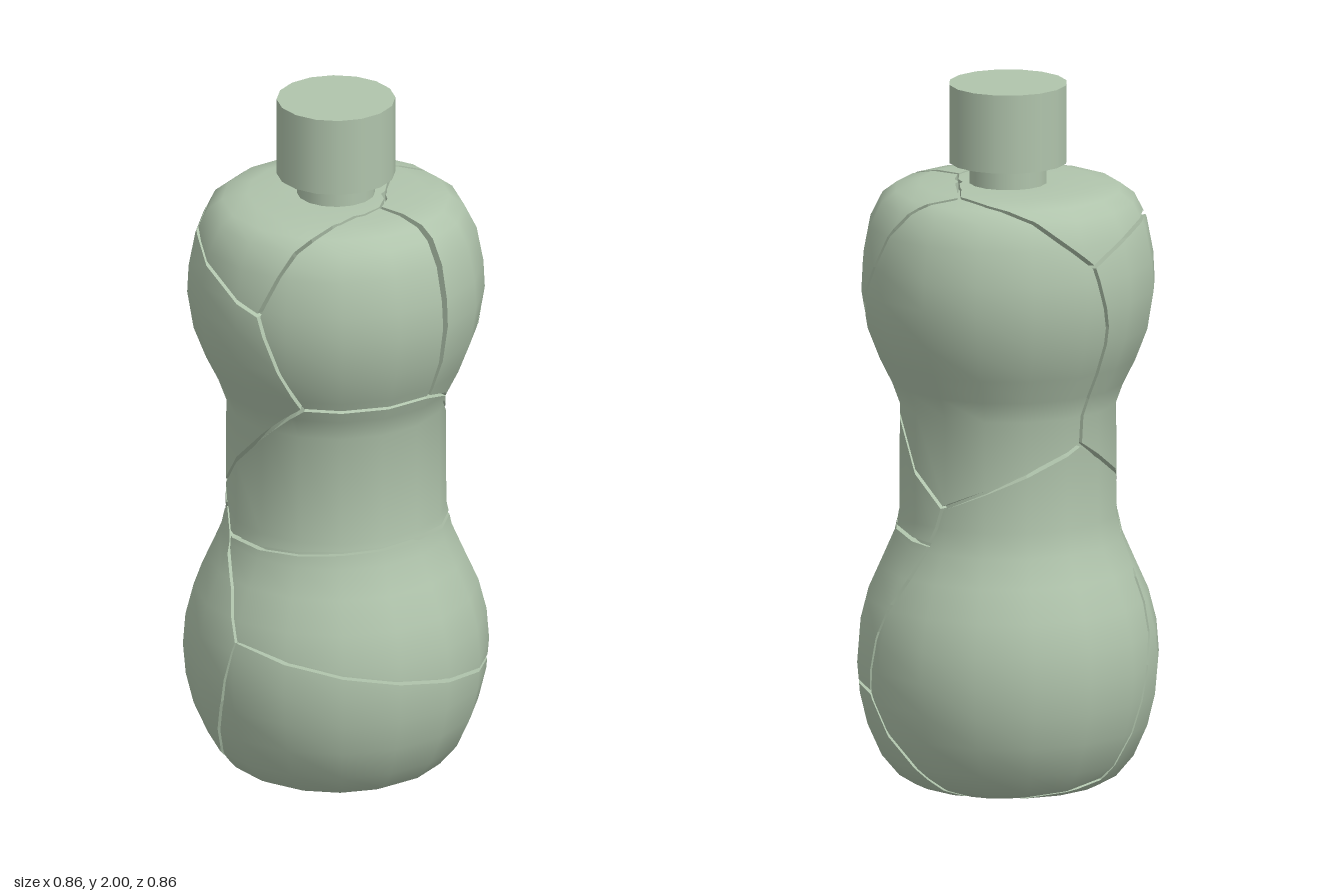
import * as THREE from 'three';

const SIDES = 16, STEP = 360 / SIDES, GAP = 0.006, DEPTH = 0.035, DEG = Math.PI / 180;

// Body profile [radius, height], from the centre of the base to the neck
const PROFILE = [
  [0, 0], [0.27, 0], [0.31, 0.02], [0.36, 0.08], [0.4, 0.17], [0.422, 0.26], [0.43, 0.35], [0.423, 0.44],
  [0.4, 0.53], [0.36, 0.62], [0.325, 0.7], [0.31, 0.77], [0.308, 1.09], [0.33, 1.15], [0.365, 1.22],
  [0.4, 1.31], [0.418, 1.42], [0.414, 1.5], [0.395, 1.6], [0.36, 1.67], [0.32, 1.7], [0.25, 1.715], [0.11, 1.715],
].map(([r, y]) => new THREE.Vector2(r, y));
const LAST = PROFILE.length - 1;

// Length along the profile, and its smooth normals
const LEN = [0];
for (let i = 1; i <= LAST; i++) LEN.push(LEN[i - 1] + PROFILE[i].distanceTo(PROFILE[i - 1]));
const NORMALS = PROFILE.map((p, i) => {
  if (i === 0) return new THREE.Vector2(0, -1);
  if (i === LAST) return new THREE.Vector2(0, 1);
  const a = p.clone().sub(PROFILE[i - 1]).normalize();
  const d = PROFILE[i + 1].clone().sub(p).normalize().add(a).normalize();
  return new THREE.Vector2(d.y, -d.x);
});

// Surface coordinates are [angle in degrees from the front, length along the profile]
function side(angle, y) {
  let j = 1;
  while (j < LAST - 2 && PROFILE[j + 1].y < y) j++;
  const t = (y - PROFILE[j].y) / (PROFILE[j + 1].y - PROFILE[j].y);
  return [angle, LEN[j] + t * (LEN[j + 1] - LEN[j])];
}
const angleOf = (x, z) => Math.atan2(x, z) / DEG;
const top = (x, z) => [angleOf(x, z), LEN[LAST] - (Math.hypot(x, z) - PROFILE[LAST].x)];
const base = (x, z) => [angleOf(x, z), Math.hypot(x, z)];
const sides = (...list) => list.map(([a, y]) => side(a, y));

// Points where cracks meet
const NODES = {
  T: top(0.165, 0), G: top(-0.01, -0.248), R: base(-0.07, -0.226),
  A: side(10, 1.48), B: side(-108, 1.54), C: side(27, 1.19), D: side(90, 1.19), E: side(116, 1.14),
  H: side(178, 0.83), S: side(257, 1.01), I: side(-46, 0.84), J: side(-42, 0.78), K: side(-28, 0.725),
  N: side(170, 0.72), L: side(0, 0.47), M: side(147, 0.28),
};

// Bends of the cracks between those points
const CRACKS = {
  TA: [top(0.165, 0.1), top(0.165, 0.18), ...sides([24, 1.67], [18, 1.6])],
  AB: sides([-23, 1.57], [-47, 1.615], [-67, 1.625], [-90, 1.6]),
  BG: sides([-134, 1.675], [-159, 1.708]),
  GT: [top(0.06, -0.155), top(0.11, -0.08)],
  GE: sides([166, 1.685], [158, 1.62], [147, 1.5], [136, 1.38], [126, 1.24]),
  AC: sides([18, 1.32]),
  EH: sides([136, 1.05], [157, 0.92]),
  SB: sides([259, 1.14], [259, 1.36]),
  SI: sides([270, 0.965], [300, 0.875]),
  KN: sides([0, 0.73], [45, 0.745], [90, 0.75], [135, 0.735]),
  KL: sides([-11, 0.6]),
  LM: sides([28, 0.44], [55, 0.4], [90, 0.35]),
  NM: sides([153, 0.46]),
  MR: sides([158, 0.17], [172, 0.05]),
  JR: sides([-57, 0.71], [-69, 0.6], [-73, 0.45], [-77, 0.36], [-83, 0.17], [-92, 0.04]),
  LR: [...sides([-8, 0.27], [-19, 0.1], [-27, 0.02]), base(-0.15, 0.2), base(-0.135, 0.1), base(-0.115, 0), base(-0.095, -0.1)],
};

// Shards by their corner points; "pole" marks the two that wrap around the axis
const SHARDS = [
  { name: 'crownShard', ring: 'TABG', pole: LEN[LAST] },
  { name: 'frontLeftShoulderShard', ring: 'TACD' },
  { name: 'backLeftShoulderShard', ring: 'TDEG' },
  { name: 'backShoulderShard', ring: 'GEHSB' },
  { name: 'frontRightShoulderShard', ring: 'ABSIC' },
  { name: 'waistShard', ring: 'CDEHNKJI' },
  { name: 'backLowerShard', ring: 'HSIJRMN' },
  { name: 'leftBellyShard', ring: 'KNML' },
  { name: 'baseShard', ring: 'LMR', pole: 0 },
  { name: 'frontRightBellyShard', ring: 'JKLR' },
];

// Outline of a shard with continuous angles, drawn in by half a crack width
function outline({ ring, pole }) {
  let pts = [];
  const add = ([a, s]) => {
    const prev = pts.length ? pts[pts.length - 1].x : a;
    pts.push(new THREE.Vector2(a - 360 * Math.round((a - prev) / 360), s));
  };
  [...ring].forEach((p, i) => {
    const q = ring[(i + 1) % ring.length];
    add(NODES[p]);
    (CRACKS[p + q] || [...(CRACKS[q + p] || [])].reverse()).forEach(add);
  });
  const fixed = new Set();
  if (pole !== undefined) {
    add(NODES[ring[0]]);
    const first = pts[0], last = pts[pts.length - 1];
    const c = new THREE.Vector2(last.x, pole), d = new THREE.Vector2(first.x, pole);
    pts.push(c, d);
    [first, last, c, d].forEach((p) => fixed.add(p));
  }
  if (THREE.ShapeUtils.isClockWise(pts)) pts = pts.reverse();
  return pts.map((p, i) => {
    if (fixed.has(p)) return p.clone();
    const k = radiusAt(p.y) * DEG;
    const inward = (a, b) => new THREE.Vector2(a.y - b.y, (b.x - a.x) * k).normalize();
    const n1 = inward(pts[(i + pts.length - 1) % pts.length], p);
    const n2 = inward(p, pts[(i + 1) % pts.length]);
    const m = n1.clone().add(n2).multiplyScalar(GAP / Math.max(0.4, 1 + n1.dot(n2)));
    return new THREE.Vector2(p.x + m.x / k, p.y + m.y);
  });
}

function radiusAt(s) {
  let j = 0;
  while (j < LAST - 1 && LEN[j + 1] < s) j++;
  return THREE.MathUtils.lerp(PROFILE[j].x, PROFILE[j + 1].x, (s - LEN[j]) / (LEN[j + 1] - LEN[j]));
}

// Keep the part of a polygon where sign * (coordinate - limit) >= 0
function clip(poly, axis, limit, sign) {
  const out = [];
  poly.forEach((p, i) => {
    const q = poly[(i + 1) % poly.length];
    const dp = sign * (p[axis] - limit), dq = sign * (q[axis] - limit);
    if (dp >= 0) out.push(p);
    if ((dp > 0 && dq < 0) || (dp < 0 && dq > 0)) {
      const c = p.clone().lerp(q, dp / (dp - dq));
      c[axis] = limit;
      out.push(c);
    }
  });
  return out;
}

// Lay a shard over the facets of the body and give its rim a wall
function shardGeometry(spec) {
  const poly = outline(spec), pos = [], nor = [];
  const angles = poly.map((p) => p.x);
  const put = (p, n) => { pos.push(p.x, p.y, p.z); nor.push(n.x, n.y, n.z); };
  for (let i = Math.floor(Math.min(...angles) / STEP); i * STEP < Math.max(...angles); i++) {
    const a0 = i * STEP, a1 = a0 + STEP;
    const column = clip(clip(poly, 'x', a0, 1), 'x', a1, -1);
    for (let j = 0; j < LAST; j++) {
      const s0 = LEN[j], s1 = LEN[j + 1];
      const raw = clip(clip(column, 'y', s0, 1), 'y', s1, -1);
      const cell = raw.filter((p, n) => p.distanceTo(raw[(n + 1) % raw.length]) > 1e-7);
      if (cell.length < 3 || Math.abs(THREE.ShapeUtils.area(cell)) < 1e-7) continue;
      const verts = cell.map((c) => {
        const t = (c.x - a0) / STEP, u = (c.y - s0) / (s1 - s0);
        const r = PROFILE[j].clone().lerp(PROFILE[j + 1], u);
        const n = NORMALS[j].clone().lerp(NORMALS[j + 1], u).normalize();
        const dx = THREE.MathUtils.lerp(Math.sin(a0 * DEG), Math.sin(a1 * DEG), t);
        const dz = THREE.MathUtils.lerp(Math.cos(a0 * DEG), Math.cos(a1 * DEG), t);
        const normal = new THREE.Vector3(Math.sin(c.x * DEG) * n.x, n.y, Math.cos(c.x * DEG) * n.x);
        const p = new THREE.Vector3(r.x * dx, r.y, r.x * dz);
        return { p, normal, inner: p.clone().addScaledVector(normal, -DEPTH) };
      });
      THREE.ShapeUtils.triangulateShape(cell, []).flat().forEach((v) => put(verts[v].p, verts[v].normal));
      cell.forEach((c, n) => {
        const m = (n + 1) % cell.length, d = cell[m];
        const on = (axis, v) => Math.abs(c[axis] - v) < 1e-6 && Math.abs(d[axis] - v) < 1e-6;
        if (on('x', a0) || on('x', a1) || on('y', s0) || on('y', s1)) return;
        const A = verts[n], B = verts[m];
        const face = A.p.clone().sub(B.p).cross(A.inner.clone().sub(B.p)).normalize();
        [B.p, A.p, A.inner, B.p, A.inner, B.inner].forEach((p) => put(p, face));
      });
    }
  }
  const g = new THREE.BufferGeometry();
  g.setAttribute('position', new THREE.Float32BufferAttribute(pos, 3));
  g.setAttribute('normal', new THREE.Float32BufferAttribute(nor, 3));
  return g;
}

export function createModel() {
  const group = new THREE.Group();
  const material = new THREE.MeshStandardMaterial({ color: 0xb0c4ac });
  const add = (name, geometry, y = 0) => {
    const mesh = new THREE.Mesh(geometry, material);
    mesh.name = name;
    mesh.position.y = y;
    group.add(mesh);
  };

  // Cracked body over a solid core
  SHARDS.forEach((s) => add(s.name, shardGeometry(s)));
  add('core', new THREE.LatheGeometry(PROFILE.map((p, i) => p.clone().addScaledVector(NORMALS[i], -0.03)), SIDES));

  // Neck and cap
  add('neck', new THREE.CylinderGeometry(0.11, 0.11, 0.11, SIDES), 1.735);
  add('cap', new THREE.CylinderGeometry(0.167, 0.167, 0.225, SIDES), 1.8875);
  return group;
}
